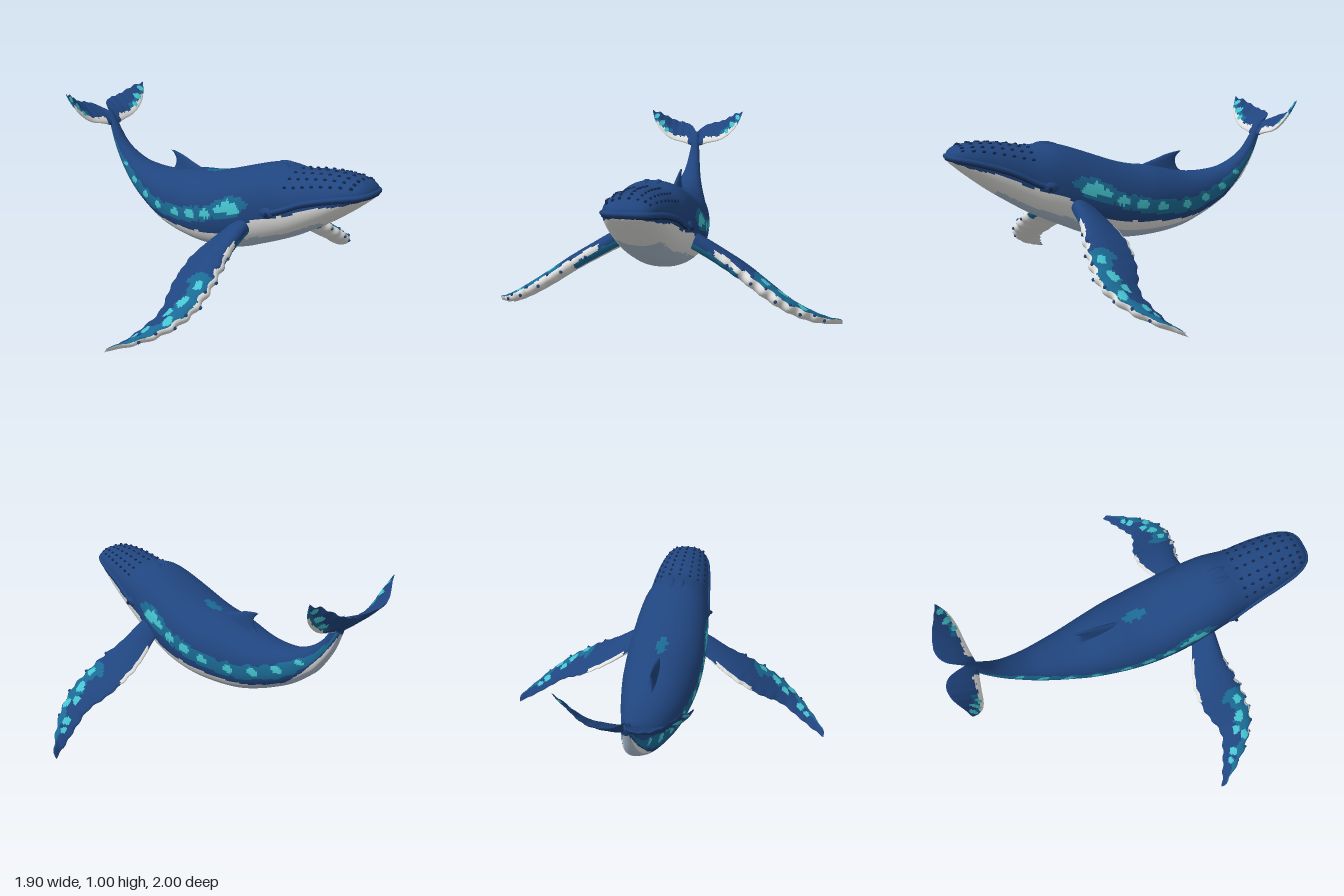
import * as THREE from 'three';
import { mergeGeometries } from 'three/addons/utils/BufferGeometryUtils.js';

const mat = (name, color) => Object.assign(new THREE.MeshStandardMaterial({ color }), { name });
const BLUE = 0, TEAL = 1, CYAN = 2, WHITE = 3, PALE = 4;

// Smooth curve through [x, y] pairs sorted by rising x
function curve(pts) {
  const n = pts.length;
  const slope = i => {
    const a = pts[Math.max(i - 1, 0)], b = pts[Math.min(i + 1, n - 1)];
    return (b[1] - a[1]) / (b[0] - a[0]);
  };
  return x => {
    let i = 0;
    while (i < n - 2 && x > pts[i + 1][0]) i++;
    const [x0, y0] = pts[i], [x1, y1] = pts[i + 1], d = x1 - x0;
    const t = Math.min(1, Math.max(0, (x - x0) / d)), t2 = t * t, t3 = t2 * t;
    return (2 * t3 - 3 * t2 + 1) * y0 + (t3 - 2 * t2 + t) * d * slope(i)
      + (3 * t2 - 2 * t3) * y1 + (t3 - t2) * d * slope(i + 1);
  };
}

// Skin of closed rings; paint(point, angle, u) picks the colour of each quad
function loft(nu, na, point, paint, flip = false) {
  const pos = [], faces = [[], [], [], [], []];
  for (let i = 0; i <= nu; i++)
    for (let j = 0; j < na; j++) pos.push(...point(i / nu, (j / na) * Math.PI * 2));
  for (let i = 0; i < nu; i++)
    for (let j = 0; j < na; j++) {
      const k = (j + 1) % na;
      const a = i * na + j, b = a + na, c = i * na + k, d = c + na;
      const u = (i + 0.5) / nu, ang = ((j + 0.5) / na) * Math.PI * 2;
      const list = faces[paint(point(u, ang), ang, u)];
      list.push(...(flip ? [a, c, b, b, c, d] : [a, b, c, b, d, c]));
    }
  const g = new THREE.BufferGeometry();
  g.setAttribute('position', new THREE.Float32BufferAttribute(pos, 3));
  g.setIndex(faces.flat());
  let start = 0;
  faces.forEach((f, m) => { if (f.length) g.addGroup(start, f.length, m); start += f.length; });
  g.computeVertexNormals();
  return g;
}

const wobble = (a, b) => Math.sin(a * 47 + Math.sin(b * 31) * 2) * 0.6 + Math.sin(a * 101 + b * 73) * 0.4;
const near = (x, y, list, rx, ry) => list.some(([cx, cy, s = 1]) =>
  ((x - cx) / (rx * s)) ** 2 + ((y - cy) / (ry * s)) ** 2 < 1 + 0.35 * wobble(x * 1.5, y * 1.5));

// Body outline against z
const top = curve([[-0.875, 0.87], [-0.835, 0.82], [-0.8, 0.765], [-0.765, 0.715], [-0.7, 0.66], [-0.6, 0.612],
  [-0.5, 0.595], [-0.4, 0.592], [-0.3, 0.602], [-0.2, 0.625], [-0.1, 0.645], [0, 0.657], [0.1, 0.68], [0.2, 0.713],
  [0.3, 0.747], [0.4, 0.778], [0.48, 0.793], [0.6, 0.786], [0.7, 0.8], [0.8, 0.81], [0.9, 0.808], [0.96, 0.793],
  [0.99, 0.768], [1, 0.74]]);
const bottom = curve([[-0.875, 0.81], [-0.86, 0.76], [-0.82, 0.66], [-0.74, 0.54], [-0.7, 0.5], [-0.6, 0.42],
  [-0.5, 0.365], [-0.4, 0.32], [-0.3, 0.285], [-0.2, 0.265], [-0.1, 0.255], [0, 0.252], [0.1, 0.258], [0.2, 0.274],
  [0.3, 0.302], [0.4, 0.345], [0.5, 0.39], [0.6, 0.44], [0.7, 0.5], [0.8, 0.565], [0.9, 0.64], [0.96, 0.69],
  [0.99, 0.718], [1, 0.74]]);
const width = curve([[-0.875, 0.018], [-0.8, 0.036], [-0.7, 0.06], [-0.6, 0.088], [-0.5, 0.115], [-0.4, 0.14],
  [-0.3, 0.165], [-0.2, 0.185], [-0.1, 0.202], [0, 0.213], [0.1, 0.219], [0.2, 0.22], [0.3, 0.216], [0.4, 0.208],
  [0.5, 0.196], [0.6, 0.178], [0.7, 0.166], [0.8, 0.152], [0.9, 0.13], [0.96, 0.1], [0.99, 0.06], [1, 0]]);
const whiteLine = curve([[-0.87, 0.78], [-0.77, 0.625], [-0.6, 0.45], [-0.4, 0.37], [-0.2, 0.355], [0, 0.368],
  [0.22, 0.4], [0.35, 0.47], [0.47, 0.54], [0.6, 0.58], [0.76, 0.65], [0.9, 0.692], [1, 0.725]]);
const bandLine = curve([[-0.87, 0.81], [-0.8, 0.69], [-0.65, 0.55], [-0.5, 0.475], [-0.3, 0.43], [-0.1, 0.437],
  [0, 0.455], [0.15, 0.5], [0.3, 0.565], [0.45, 0.61]]);
const mouthLine = curve([[0.5, 0.565], [0.6, 0.605], [0.7, 0.655], [0.8, 0.69], [0.9, 0.718], [1, 0.738]]);
const spots = [[0.31, 0.565, 1.7], [0.24, 0.54, 1.1], [0.14, 0.49, 1.2], [0.02, 0.462, 1.2], [-0.11, 0.438, 1.2],
  [-0.28, 0.434, 1.1], [-0.42, 0.455], [-0.55, 0.505], [-0.67, 0.575, 0.7]];

const pow = (v, e) => Math.sign(v) * Math.abs(v) ** e;
const bodyPoint = (z, a) => {
  const t = top(z), b = bottom(z);
  return [width(z) * pow(Math.cos(a), 0.9), (t + b) / 2 + ((t - b) / 2) * pow(Math.sin(a), 0.9), z];
};
// Half width of the body at a given height
const sideX = (z, y) => {
  const t = top(z), b = bottom(z), s = Math.min(1, Math.abs((2 * y - t - b) / (t - b)));
  return width(z) * Math.cos(Math.asin(s ** (1 / 0.9))) ** 0.9;
};
function bodyPaint([x, y, z], a) {
  const w = wobble(z, y);
  if (y < whiteLine(z) + 0.003 * w)
    return Math.sin(a) < -0.66 - 0.3 * Math.max(0, z - 0.35) + 0.02 * w && z < 0.78 ? PALE : WHITE;
  if (z < 0.43 && near(z, y, spots, 0.032, 0.02)) return CYAN;
  const half = (z > 0.2 ? 0.055 : 0.04) * Math.min(1, (0.43 - z) * 12, (z + 0.88) * 4);
  if (Math.abs(y - bandLine(z)) < half + 0.008 * w) return TEAL;
  if (Math.sin(a) > 0 && near(x, z, [[0, 0.015]], 0.026, 0.075)) return TEAL;
  return BLUE;
}

// Flipper outline against x
const fin = {
  lead: curve([[0.14, 0.42], [0.22, 0.42], [0.32, 0.425], [0.45, 0.458], [0.56, 0.475], [0.66, 0.468], [0.78, 0.4], [0.88, 0.292], [0.95, 0.195]]),
  trail: curve([[0.14, 0.29], [0.22, 0.275], [0.32, 0.235], [0.43, 0.21], [0.56, 0.235], [0.68, 0.28], [0.78, 0.255], [0.88, 0.215], [0.95, 0.183]]),
  y: curve([[0.14, 0.49], [0.22, 0.45], [0.32, 0.39], [0.45, 0.312], [0.56, 0.238], [0.7, 0.15], [0.8, 0.09], [0.88, 0.048], [0.95, 0.018]]),
  thick: curve([[0.14, 0.055], [0.25, 0.052], [0.45, 0.047], [0.6, 0.043], [0.78, 0.034], [0.88, 0.024], [0.935, 0.015], [0.95, 0.003]]),
};
const finSpots = [[0.56, 0.42], [0.64, 0.4, 1.3], [0.7, 0.36], [0.74, 0.4, 1.1], [0.8, 0.31], [0.84, 0.28, 0.8]];
function finPoint(s, u, a) {
  const x = 0.14 + 0.81 * u, c = Math.cos(a);
  const ripple = 0.008 * Math.sin(x * 95) * Math.min(1, Math.max(0, (x - 0.3) * 8));
  const l = fin.lead(x) + ripple, t = fin.trail(x) - ripple * 0.6;
  const h = fin.thick(x) * Math.sin(a) * (0.8 + 0.35 * c);
  return [s * (x + 0.5 * h), fin.y(x) + 0.86 * h + 0.014 * c, (l + t) / 2 + ((l - t) / 2) * c];
}
function finPaint([px, , z], a, u) {
  const x = Math.abs(px), s = Math.sin(a), c = Math.cos(a), w = wobble(x, z);
  if (s < -0.12 + 0.08 * w) return x < 0.42 && c > 0.35 && s > -0.75 ? TEAL : WHITE;
  if (x > 0.3 && c > 0.9 + 0.04 * w) return WHITE;
  if (x > 0.28 && x < 0.5 && c < -0.86) return WHITE;
  if (near(x, z, finSpots, 0.022, 0.02)) return CYAN;
  return x > 0.5 && c > 0.1 + 0.25 * w && u < 0.97 ? TEAL : BLUE;
}

// Tail fluke edges against x: [y, z] of leading and trailing side
const fluke = {
  ly: curve([[0, 0.775], [0.08, 0.8], [0.15, 0.816], [0.2, 0.842], [0.25, 0.89], [0.28, 0.94], [0.3, 0.992]]),
  lz: curve([[0, -0.835], [0.08, -0.847], [0.15, -0.855], [0.2, -0.858], [0.25, -0.867], [0.28, -0.884], [0.3, -0.907]]),
  ty: curve([[0, 0.86], [0.04, 0.895], [0.1, 0.917], [0.15, 0.928], [0.2, 0.953], [0.25, 0.983], [0.3, 0.998]]),
  tz: curve([[0, -0.885], [0.03, -0.955], [0.06, -0.985], [0.1, -0.997], [0.15, -0.99], [0.2, -0.968], [0.25, -0.938], [0.3, -0.912]]),
};
function flukePoint(s, u, a) {
  const x = 0.3 * u, k = (1 + Math.cos(a)) / 2;
  const h = 0.026 * Math.sqrt(1.0001 - u) * Math.sin(a) * (0.35 + 0.65 * k);
  const rip = 0.006 * Math.sin(x * 130) * u * (1 - k);
  const y = fluke.ty(x) + (fluke.ly(x) - fluke.ty(x)) * k, z = fluke.tz(x) + (fluke.lz(x) - fluke.tz(x)) * k;
  return [s * (x - 0.3 * h), y + 0.72 * h + rip, z + 0.65 * h];
}
function flukePaint([px, y], a) {
  const x = Math.abs(px), c = Math.cos(a), w = wobble(x, y);
  if (near(x, y, [[0.2, 0.875], [0.235, 0.92, 1.2], [0.27, 0.965]], 0.014, 0.014)) return CYAN;
  if (x > 0.05 && x < 0.27 && c > 0.62 + 0.12 * w) return WHITE;
  return x > 0.16 && c > 0.25 + 0.2 * w ? TEAL : BLUE;
}

// Dorsal fin edges against y
const dorsalFront = curve([[0.58, 0.02], [0.645, -0.08], [0.675, -0.17], [0.7, -0.245], [0.712, -0.315]]);
const dorsalBack = curve([[0.58, -0.37], [0.61, -0.315], [0.645, -0.295], [0.675, -0.296], [0.7, -0.315], [0.712, -0.333]]);

export function createModel() {
  const model = new THREE.Group();
  const skin = [mat('deepBlue', 0x20457f), mat('teal', 0x1b6a94), mat('cyan', 0x45c4cf),
    mat('white', 0xe2e2e0), mat('paleBlue', 0xb0c0d2)];
  const navy = mat('navy', 0x14264a);
  const add = (name, geometry, material) => {
    const mesh = new THREE.Mesh(geometry, material);
    mesh.name = name;
    model.add(mesh);
  };
  const bead = (r, x, y, z, sx = 1, sy = 1, sz = 1) => new THREE.SphereGeometry(r, 8, 6).scale(sx, sy, sz).translate(x, y, z);

  add('body', loft(190, 104, (u, a) => bodyPoint(1 - 1.875 * u ** 1.3, a), bodyPaint), skin);
  add('dorsalFin', loft(20, 24, (u, a) => {
    const y = 0.58 + 0.132 * u, f = dorsalFront(y), b = dorsalBack(y);
    return [-0.03 * (1 - 0.85 * u) * Math.sin(a), y, (f + b) / 2 + ((f - b) / 2) * Math.cos(a)];
  }, () => BLUE), skin);

  for (const s of [1, -1]) {
    const side = s > 0 ? 'left' : 'right';
    add(side + 'Flipper', loft(110, 48, (u, a) => finPoint(s, u, a), finPaint, s < 0), skin);
    add(side + 'Fluke', loft(60, 40, (u, a) => flukePoint(s, u, a), flukePaint, s < 0), skin);
    // Knobs along the flipper's leading edge
    const knobs = [];
    for (let i = 0; i < 9; i++) {
      const [x, y, z] = finPoint(s, 0.28 + i * 0.075, i % 2 ? 0.45 : -0.1);
      knobs.push(bead(0.009, x, y, z));
    }
    add(side + 'FlipperKnobs', mergeGeometries(knobs), skin[BLUE]);
    // Brow and eye behind the mouth corner
    add(side + 'Brow', bead(0.04, s * 0.178, 0.585, 0.52, 0.7, 0.8, 1.3), skin[BLUE]);
    add(side + 'Eye', bead(0.011, s * 0.204, 0.58, 0.535), navy);
    // Raised blowhole ridge
    add(side + 'BlowholeRidge', bead(0.03, s * 0.028, 0.781, 0.49, 0.7, 0.6, 2), skin[BLUE]);
  }

  // Lip ridge running round the snout, with the mouth line under it
  const lip = dy => {
    const half = [];
    for (let i = 0; i <= 14; i++) {
      const z = 0.52 + 0.475 * Math.sin((i / 14) * Math.PI / 2), y = mouthLine(z) + dy;
      half.push(new THREE.Vector3(sideX(z, y), y, z));
    }
    const other = half.map(p => new THREE.Vector3(-p.x, p.y, p.z)).reverse();
    return new THREE.CatmullRomCurve3([...half, ...other]);
  };
  add('lipRidge', new THREE.TubeGeometry(lip(0.008), 120, 0.012, 8), skin[BLUE]);
  add('mouthLine', new THREE.TubeGeometry(lip(-0.006), 120, 0.006, 6), navy);

  // Rows of knobs on the upper jaw
  const knobs = [];
  for (let row = 0; row < 8; row++) {
    const z = 0.6 + row * 0.048;
    for (const k of [-3, -2, -1, 0, 1, 2, 3]) {
      const a = Math.PI / 2 - k * 0.31;
      const [x, y] = bodyPoint(z + (k % 2) * 0.008, a);
      knobs.push(bead(0.009, x, y, z, 0.85, 0.8, 1.2));
    }
  }
  add('headKnobs', mergeGeometries(knobs), navy);
  return model;
}
